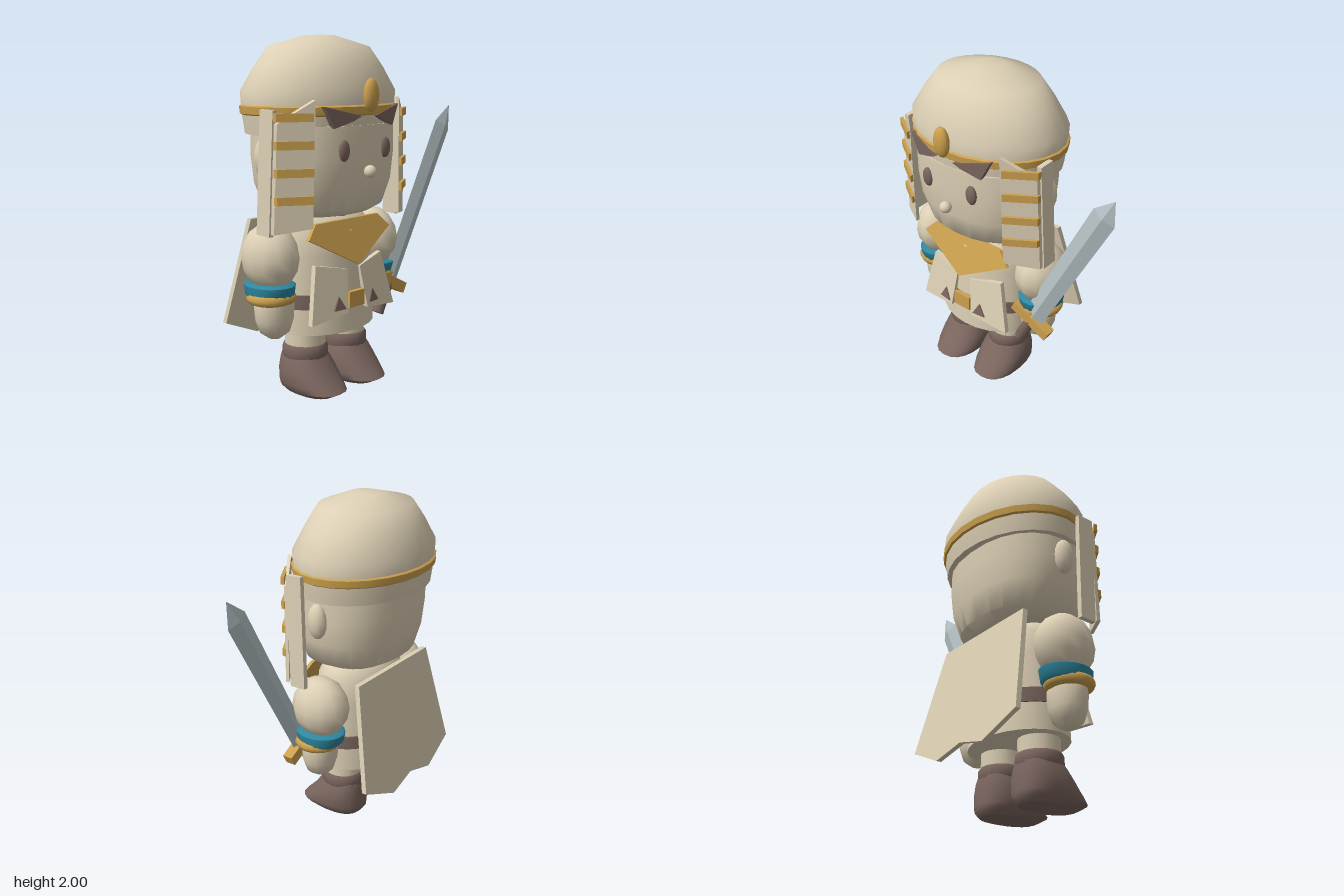
import * as THREE from 'three';
import { toCreasedNormals } from 'three/addons/utils/BufferGeometryUtils.js';

const mat = (name, color) => {
  const m = new THREE.MeshStandardMaterial({ color });
  m.name = name;
  return m;
};

export function createModel() {
  const cream = mat('cream', 0xdccfb4);
  const gold = mat('gold', 0xcba04e);
  const brown = mat('brown', 0x7a655e);
  const blue = mat('blue', 0x2f87a0);
  const steel = mat('steel', 0xb6c3c6);

  const model = new THREE.Group();
  model.name = 'knight';
  const figure = new THREE.Group();
  figure.name = 'figure';
  figure.position.x = -0.21;
  model.add(figure);

  const add = (name, geo, material, x = 0, y = 0, z = 0, parent = figure) => {
    const mesh = new THREE.Mesh(geo, material);
    mesh.name = name;
    mesh.position.set(x, y, z);
    parent.add(mesh);
    return mesh;
  };

  // Stacked superelliptic rings [y, half width, half depth, z centre], capped at both ends
  const loft = (rings, segs = 20, power = 2, crease = 0.8) => {
    const pos = [], idx = [];
    const bend = v => Math.sign(v) * Math.abs(v) ** (2 / power);
    for (const [y, w, d, zc = 0] of rings) {
      for (let i = 0; i < segs; i++) {
        const a = (i / segs) * Math.PI * 2;
        pos.push(w * bend(Math.cos(a)), y, zc + d * bend(Math.sin(a)));
      }
    }
    const n = rings.length, first = rings[0], last = rings[n - 1];
    pos.push(0, first[0], first[3] || 0, 0, last[0], last[3] || 0);
    for (let i = 0; i < segs; i++) {
      const j = (i + 1) % segs, t = (n - 1) * segs;
      for (let r = 0; r < n - 1; r++) {
        const a = r * segs + i, b = r * segs + j;
        idx.push(a, a + segs, b, b, a + segs, b + segs);
      }
      idx.push(n * segs, i, j, n * segs + 1, t + j, t + i);
    }
    const geo = new THREE.BufferGeometry();
    geo.setAttribute('position', new THREE.Float32BufferAttribute(pos, 3));
    geo.setIndex(idx);
    return toCreasedNormals(geo, crease);
  };

  // Flat outline with thickness, leaned along z by a rule
  const plate = (pts, depth, lean = () => 0) => {
    const shape = new THREE.Shape(pts.map(p => new THREE.Vector2(...p)));
    const geo = new THREE.ExtrudeGeometry(shape, { depth, bevelEnabled: false });
    const p = geo.attributes.position;
    for (let i = 0; i < p.count; i++) p.setZ(i, p.getZ(i) + lean(p.getX(i), p.getY(i)));
    geo.computeVertexNormals();
    return geo;
  };

  const ball = (rx, ry, rz, w = 16, h = 10) => new THREE.SphereGeometry(1, w, h).scale(rx, ry, rz);

  // Head and face
  add('head', loft([
    [1.02, 0.28, 0.22], [1.06, 0.36, 0.285], [1.2, 0.415, 0.32], [1.35, 0.43, 0.335], [1.52, 0.43, 0.335],
  ], 24, 2.3), cream);
  add('nose', ball(0.035, 0.035, 0.035), cream, 0, 1.27, 0.36);

  // Cap with gold band and jewel
  add('cap', loft([
    [1.47, 0.465, 0.35, -0.025], [1.59, 0.483, 0.365, -0.025], [1.7, 0.49, 0.37, -0.025], [1.83, 0.405, 0.31, -0.025],
    [1.94, 0.315, 0.25, -0.025], [2, 0.08, 0.09, -0.025],
  ], 24), cream);
  add('capBand', loft([
    [1.57, 0.475, 0.36, -0.025], [1.58, 0.492, 0.374, -0.025], [1.62, 0.496, 0.378, -0.025], [1.63, 0.48, 0.365, -0.025],
  ], 24), gold);
  add('jewel', ball(0.052, 0.09, 0.035), gold, 0, 1.68, 0.365);

  // Torso, collar, belt
  add('torso', loft([
    [0.36, 0.33, 0.247], [0.6, 0.33, 0.236], [0.8, 0.32, 0.225], [0.93, 0.31, 0.215], [1.0, 0.27, 0.17], [1.03, 0.2, 0.12],
  ], 24), cream);
  add('neckRing', new THREE.CylinderGeometry(0.15, 0.17, 0.05, 20), blue, 0, 1.015, 0.0);
  add('belt', loft([[0.51, 0.342, 0.25], [0.59, 0.342, 0.248]], 24), brown);
  add('buckle', new THREE.BoxGeometry(0.12, 0.09, 0.03), gold, 0, 0.545, 0.25);
  add('chestCollar', plate(
    [[-0.325, 0.915], [-0.25, 0.99], [0.25, 0.99], [0.325, 0.915], [0, 0.745]],
    0.022, (x, y) => 0.17 + (0.99 - y) * 0.36), gold);

  // Cape hanging behind
  add('cape', plate(
    [[-0.36, 0.985], [0.36, 0.985], [0.46, 0.37], [0.2, 0.26], [0, 0.31], [-0.2, 0.26], [-0.45, 0.37]],
    0.03, (x, y) => -0.245 - (0.985 - y) * 0.21), cream);

  const lappetLean = x => 0.255 - (Math.abs(x) - 0.33) * 0.64;
  const flapLean = (x, y) => 0.195 + (0.765 - y) * 0.16 - (Math.abs(x) - 0.1) * 0.12;

  for (const s of [-1, 1]) {
    const side = pts => pts.map(([x, y]) => [x * s, y]);

    // Face details and ears
    add('eye', ball(0.037, 0.058, 0.022), brown, 0.163 * s, 1.39, 0.322);
    add('brow', plate(side([[0.29, 1.625], [0.06, 1.57], [0.11, 1.545], [0.23, 1.51]]),
      0.03, x => 0.335 - Math.abs(x) * 0.2), brown);
    add('ear', ball(0.05, 0.105, 0.06, 12, 8), cream, 0.435 * s, 1.35, -0.01);

    // Headdress side panels with gold bars
    add('lappetFront', plate(side([[0.33, 1.66], [0.5, 1.54], [0.52, 0.965], [0.345, 0.99]]),
      0.025, lappetLean), cream);
    const panel = add('lappetSide', new THREE.BoxGeometry(0.03, 0.66, 0.1), cream, 0.5 * s, 1.28, 0.085);
    panel.rotation.set(0.04, 0, 0.02 * s);
    for (const y of [1.572, 1.43, 1.287, 1.143]) {
      add('lappetBar', plate(side([[0.35, y - 0.022], [0.35, y + 0.022], [0.515, y + 0.022], [0.515, y - 0.022]]),
        0.025, x => lappetLean(x) + 0.02), gold);
    }

    // Skirt flaps with small triangles
    add('skirtFlap', plate(side([[0.05, 0.72], [0.265, 0.765], [0.335, 0.45], [0.08, 0.48]]),
      0.03, flapLean), cream);
    add('flapTriangle', plate(side([[0.095, 0.505], [0.18, 0.505], [0.137, 0.58]]),
      0.009, (x, y) => flapLean(x, y) + 0.029), brown);

    // Arm
    add('upperArm', ball(0.15, 0.185, 0.178, 12, 8), cream, 0.405 * s, 0.81, -0.005);
    add('armBand', loft([[0.59, 0.122, 0.13], [0.605, 0.128, 0.145], [0.66, 0.132, 0.155], [0.67, 0.12, 0.14]], 18),
      blue, 0.41 * s, 0, -0.005);
    add('bracelet', new THREE.TorusGeometry(0.105, 0.033, 8, 20).rotateX(Math.PI / 2), gold, 0.415 * s, 0.59, 0.01);
    add('hand', loft([
      [0.355, 0.035, 0.035], [0.39, 0.085, 0.08], [0.46, 0.112, 0.1], [0.54, 0.12, 0.105], [0.6, 0.11, 0.1],
    ], 14), cream, 0.395 * s, 0, 0.012);

    // Leg and boot
    add('leg', new THREE.CylinderGeometry(0.115, 0.115, 0.22, 18), cream, 0.163 * s, 0.3, 0.008);
    add('bootCuff', loft([[0.19, 0.12, 0.125], [0.21, 0.13, 0.135], [0.26, 0.128, 0.132], [0.277, 0.12, 0.122]], 18),
      brown, 0.163 * s, 0, 0.01);
    add('boot', loft([
      [0, 0.11, 0.175, 0.06], [0.03, 0.14, 0.215, 0.075], [0.06, 0.15, 0.2, 0.06],
      [0.13, 0.149, 0.165, 0.03], [0.19, 0.132, 0.14, 0.012], [0.22, 0.118, 0.125, 0.005],
    ], 20, 2.4), brown, 0.163 * s);
  }

  // Sword, tilted outward from the left hand
  const sword = new THREE.Group();
  sword.name = 'sword';
  sword.position.set(0.228, 0.54, 0.118);
  sword.rotation.set(0.03, 0, -0.475);
  model.add(sword);
  const blade = new THREE.CylinderGeometry(1, 0.9, 1.04, 4, 1).scale(0.074, 1, 0.026).toNonIndexed();
  blade.computeVertexNormals();
  add('blade', blade, steel, 0, 0.52, 0, sword);
  const tip = new THREE.ConeGeometry(1, 0.14, 4).scale(0.074, 1, 0.026).toNonIndexed();
  tip.computeVertexNormals();
  add('bladeTip', tip, steel, 0, 1.11, 0, sword);
  add('guard', new THREE.BoxGeometry(0.28, 0.065, 0.065), gold, 0, 0, 0, sword);
  add('grip', new THREE.CylinderGeometry(0.035, 0.038, 0.19, 8), brown, 0, -0.11, 0, sword);

  return model;
}
